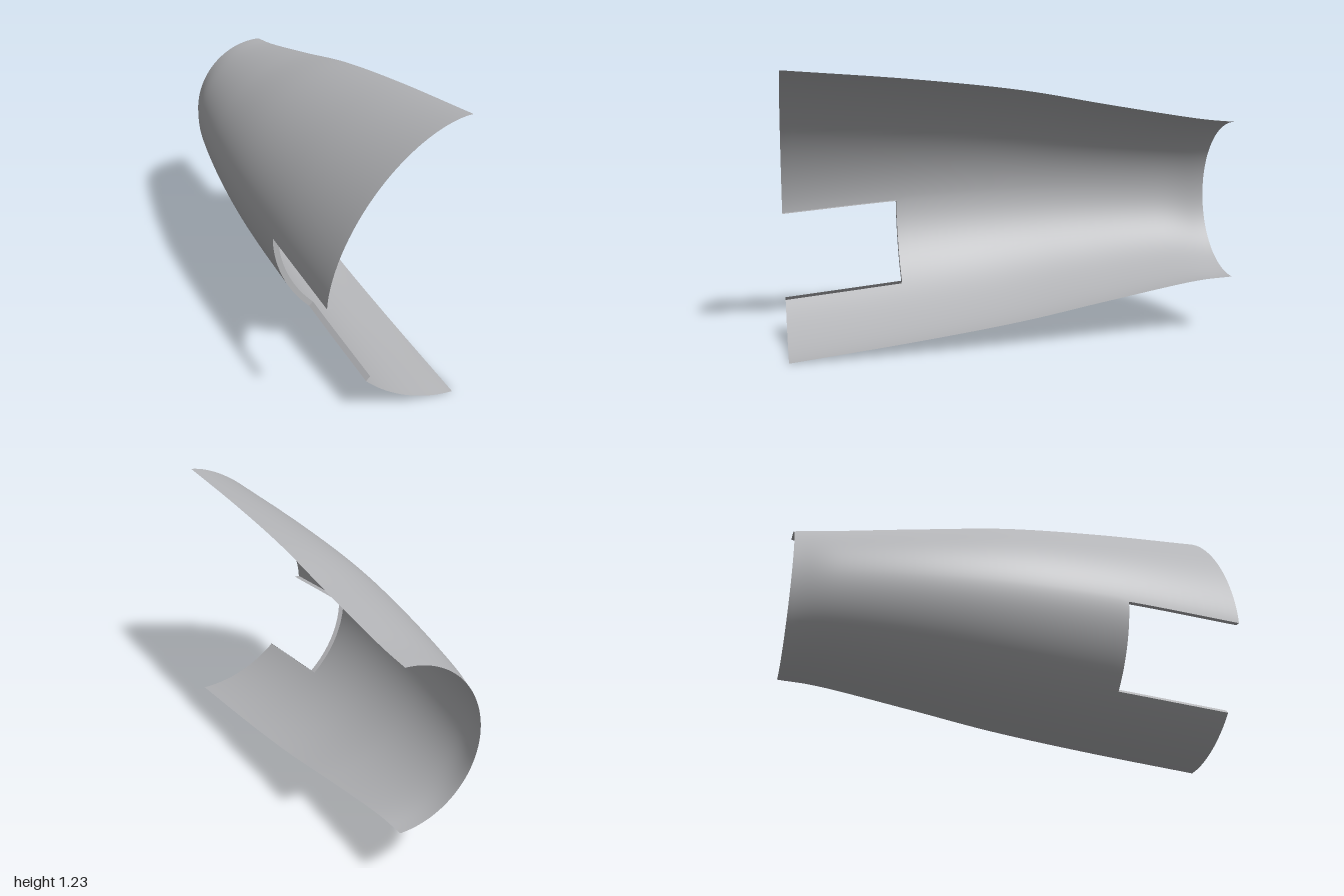
import * as THREE from 'three';

// Stations from front to back: [z, top y, bottom y, half width, y of widest line]
const STATIONS = [
  [1, 1.227, 0.002, 0.59, 0.545],
  [0.47, 1.187, 0.059, 0.574, 0.59],
  [0, 1.136, 0.12, 0.547, 0.615],
  [-0.4, 1.067, 0.19, 0.497, 0.625],
  [-0.8, 1.002, 0.257, 0.418, 0.627],
  [-1, 0.981, 0.272, 0.355, 0.626],
];
const SPLIT_X = 0.295; // plane where the half shell is cut
const STEPS = 10; // rows per station gap
const NOTCH_LOW = -44.5; // lower notch edge, degrees below the widest line
const LIP = 0.025;

const curve = (a, b) => new THREE.CatmullRomCurve3(
  STATIONS.map((s) => new THREE.Vector3(s[0], s[a], s[b])), false, 'catmullrom');
const heights = curve(1, 2);
const widths = curve(3, 4);

// Point on the shell: row along z, angle from 90 (top) to -90 (bottom)
function shellPoint(row, degrees) {
  const t = row / (STEPS * (STATIONS.length - 1));
  const h = heights.getPoint(t);
  const w = widths.getPoint(t);
  const back = (1 - h.x) / 2;
  const upper = degrees >= 0;
  const n = THREE.MathUtils.lerp(upper ? 1.66 : 1.88, 2, back);
  const a = THREE.MathUtils.degToRad(Math.abs(degrees));
  const c = Math.pow(Math.max(0, Math.cos(a)), 2 / n);
  const s = Math.pow(Math.sin(a), 2 / n);
  const y = upper ? w.z + (h.y - w.z) * s : w.z - (w.z - h.z) * s;
  return new THREE.Vector3(SPLIT_X - w.y * c, y, h.x);
}

// Same point moved inwards by the lip depth
function lipPoint(row, degrees) {
  const a = THREE.MathUtils.degToRad(degrees);
  return shellPoint(row, degrees)
    .add(new THREE.Vector3(Math.cos(a) * LIP, -Math.sin(a) * LIP, 0));
}

// Smooth grid surface from rows of points, optionally leaving cells out
function gridGeometry(rows, skip = () => false) {
  const cols = rows[0].length;
  const index = [];
  for (let i = 0; i < rows.length - 1; i++) {
    for (let j = 0; j < cols - 1; j++) {
      if (skip(i, j)) continue;
      const p = i * cols + j;
      const q = p + cols;
      index.push(p, q, p + 1, p + 1, q, q + 1);
    }
  }
  const g = new THREE.BufferGeometry().setFromPoints(rows.flat());
  g.setIndex(index);
  g.computeVertexNormals();
  return g;
}

const range = (from, to, count) =>
  Array.from({ length: count + 1 }, (_, k) => from + ((to - from) * k) / count);

export function createModel() {
  const group = new THREE.Group();
  group.name = 'halfCowling';
  const grey = new THREE.MeshStandardMaterial({ color: 0xb4b5b8, side: THREE.DoubleSide });
  grey.name = 'plain grey';
  const add = (name, geometry) => {
    const mesh = new THREE.Mesh(geometry, grey);
    mesh.name = name;
    group.add(mesh);
  };

  // Tapered half shell with a rectangular notch open to the front
  const angles = [
    ...range(90, 0, 32),
    ...range(0, NOTCH_LOW, 16).slice(1),
    ...range(NOTCH_LOW, -90, 16).slice(1),
  ];
  const rows = range(0, STEPS * (STATIONS.length - 1), STEPS * (STATIONS.length - 1))
    .map((r) => angles.map((a) => shellPoint(r, a)));
  add('shell', gridGeometry(rows, (i, j) => i < STEPS && j >= 32 && j < 48));

  // Narrow lips folded inwards around the notch
  const lip = (path) => gridGeometry(path.map(([r, a]) => [shellPoint(r, a), lipPoint(r, a)]));
  const along = range(0, STEPS, STEPS);
  add('notchUpperLip', lip(along.map((r) => [r, 0])));
  add('notchBackLip', lip(range(0, NOTCH_LOW, 16).map((a) => [STEPS, a])));
  add('notchLowerLip', lip(along.map((r) => [STEPS - r, NOTCH_LOW])));

  return group;
}
